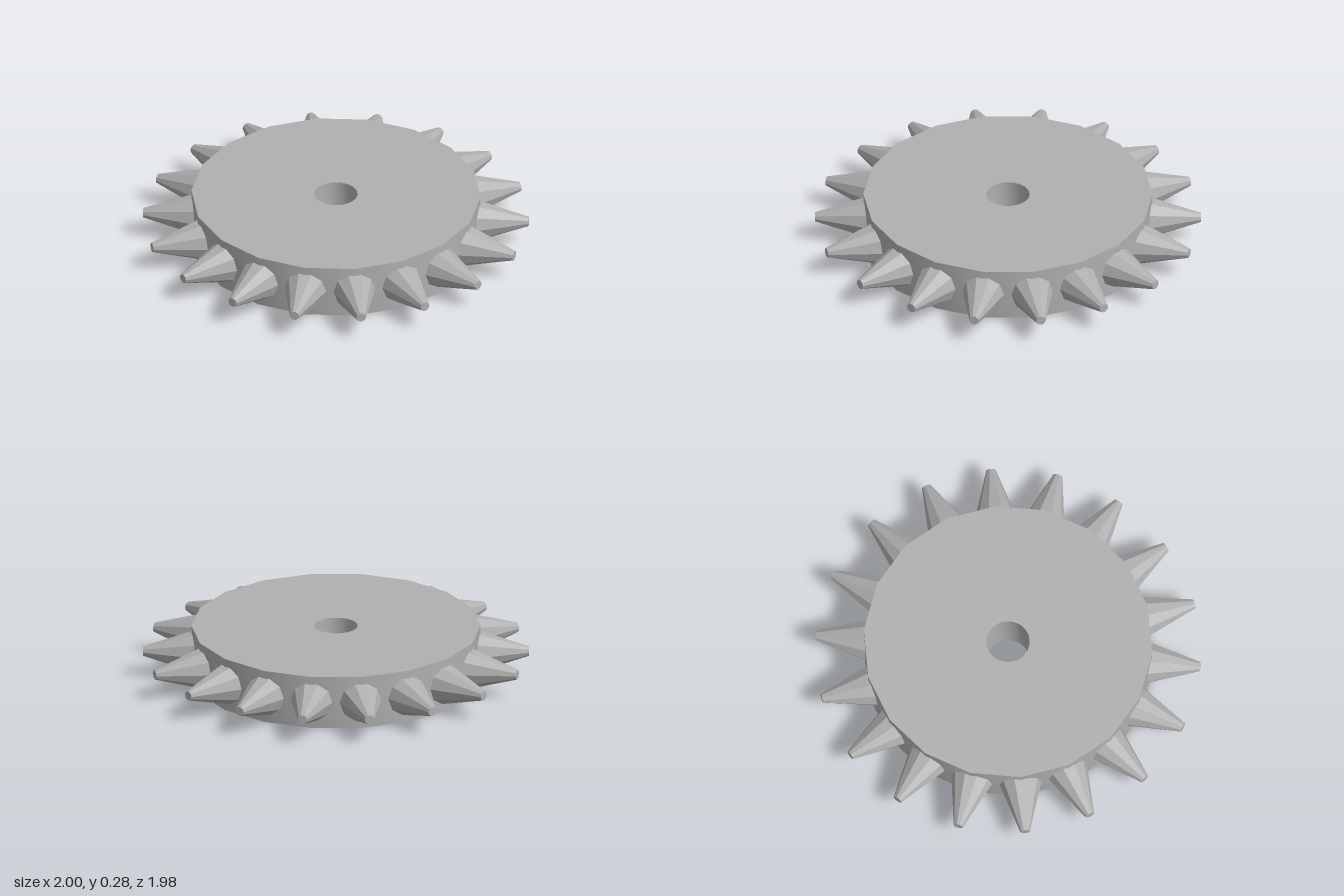
import * as THREE from 'three';
import { toCreasedNormals } from 'three/addons/utils/BufferGeometryUtils.js';

const COUNT = 18;          // disc sides and spikes
const THICKNESS = 0.283;
const CREASE = 0.5;        // radians: smooth disc rim, faceted spikes

// Regular polygon with a corner on +x
function polygon(radius, sides) {
  return Array.from({ length: sides }, (_, i) => {
    const a = (i / sides) * Math.PI * 2;
    return new THREE.Vector2(radius * Math.cos(a), radius * Math.sin(a));
  });
}

export function createModel() {
  const model = new THREE.Group();
  model.name = 'spikedWheel';

  const steel = new THREE.MeshStandardMaterial({ color: 0xb0b0b0 });
  steel.name = 'grey steel';

  // Thick disc with a round axle hole
  const outline = new THREE.Shape(polygon(0.75, COUNT));
  outline.holes.push(new THREE.Path(polygon(0.113, COUNT)));
  const discGeometry = new THREE.ExtrudeGeometry(outline, { depth: THICKNESS, bevelEnabled: false });
  discGeometry.rotateX(-Math.PI / 2);
  const disc = new THREE.Mesh(toCreasedNormals(discGeometry, CREASE), steel);
  disc.name = 'disc';
  model.add(disc);

  // Blunt ten-sided spikes, rooted inside the rim and pointing outwards
  const cone = new THREE.CylinderGeometry(0.025, 0.119, 0.3, 10);
  cone.rotateZ(-Math.PI / 2);
  cone.translate(0.85, 0, 0);
  const spikeGeometry = toCreasedNormals(cone, CREASE);
  const spikes = new THREE.Group();
  spikes.name = 'spikes';
  spikes.position.y = THICKNESS / 2;
  for (let i = 0; i < COUNT; i++) {
    const spike = new THREE.Mesh(spikeGeometry, steel);
    spike.name = 'spike';
    spike.rotation.y = (i / COUNT) * Math.PI * 2;
    spikes.add(spike);
  }
  model.add(spikes);

  return model;
}
